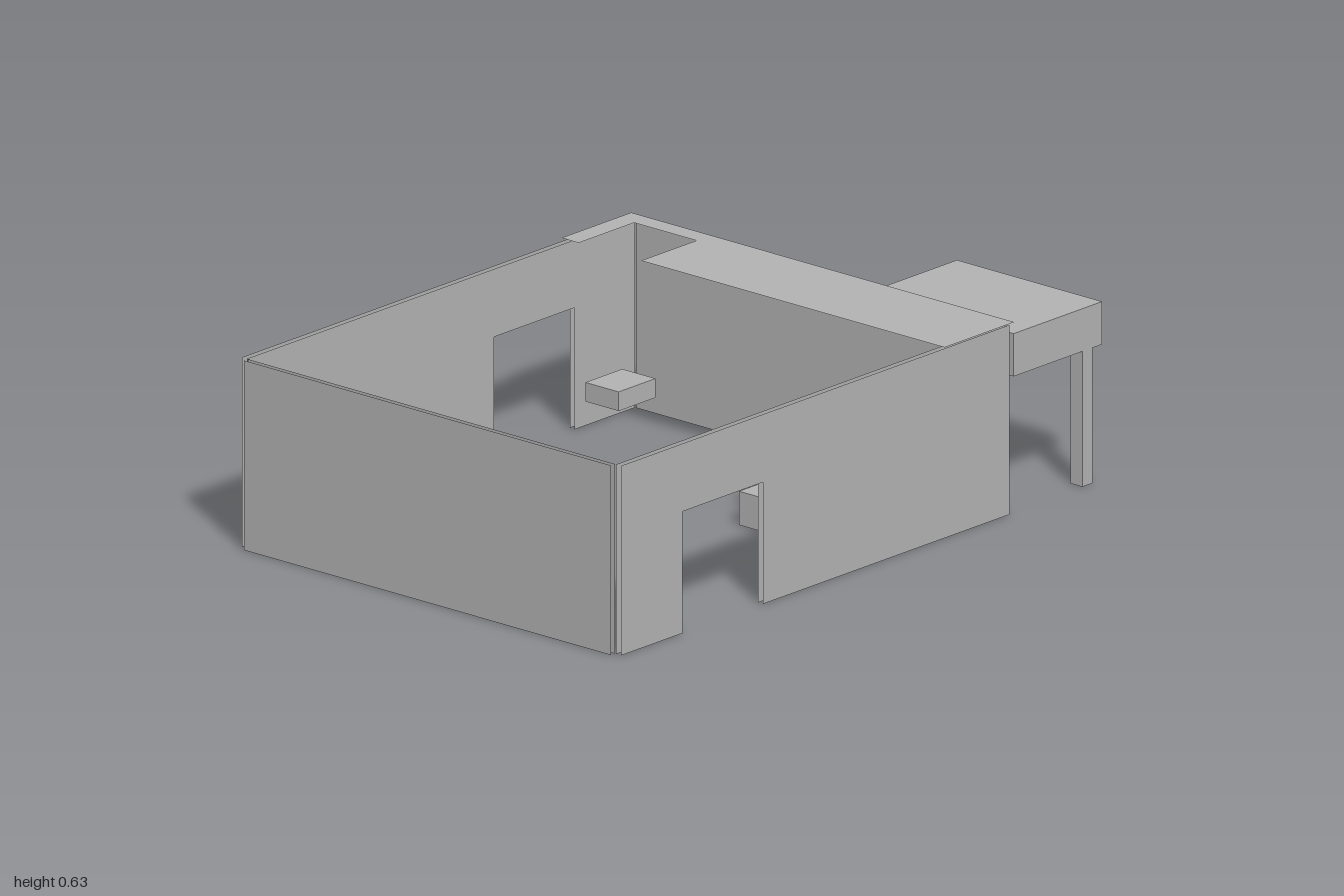
import * as THREE from 'three';

const grey = new THREE.MeshStandardMaterial({ color: 0xb2b2b2, side: THREE.DoubleSide });
grey.name = 'plain grey';

const WALL_HEIGHT = 0.545;
const DOOR_HEIGHT = 0.35;

function add(parent, name, geometry) {
  const mesh = new THREE.Mesh(geometry, grey);
  mesh.name = name;
  parent.add(mesh);
  return mesh;
}

// Box given by its limits, left open underneath
function openBox(parent, name, [x0, x1], [y0, y1], [z0, z1]) {
  const geometry = new THREE.BoxGeometry(x1 - x0, y1 - y0, z1 - z0);
  const index = Array.from(geometry.index.array);
  index.splice(18, 6);
  geometry.setIndex(index);
  geometry.clearGroups();
  geometry.translate((x0 + x1) / 2, (y0 + y1) / 2, (z0 + z1) / 2);
  return add(parent, name, geometry);
}

function polygon(points) {
  return new THREE.ShapeGeometry(new THREE.Shape(points.map(([x, y]) => new THREE.Vector2(x, y))));
}

// Upright sheet along x, with an optional doorway cut from the floor
function wallSheet(a, b, door) {
  const gap = door ? [[door[0], 0], [door[0], DOOR_HEIGHT], [door[1], DOOR_HEIGHT], [door[1], 0]] : [];
  return polygon([[a, 0], ...gap, [b, 0], [b, WALL_HEIGHT], [a, WALL_HEIGHT]]);
}

export function createModel() {
  const model = new THREE.Group();
  model.name = 'building';

  // Hollow walls: an outer and an inner sheet on each side, open at top and ends
  const walls = new THREE.Group();
  walls.name = 'walls';
  model.add(walls);
  for (const z of [0.69, 0.672]) {
    add(walls, 'frontWall', wallSheet(-0.984, 0.607, [-0.733, -0.403])).position.z = z;
    add(walls, 'backWall', wallSheet(-0.984, 0.607, [0.03, 0.36])).position.z = -z;
  }
  for (const [name, x] of [['rightWall', 0.623], ['rightWall', 0.607], ['leftWall', -1], ['leftWall', -0.984]]) {
    const sheet = add(walls, name, wallSheet(-0.668, 0.668));
    sheet.rotation.y = Math.PI / 2;
    sheet.position.x = x;
  }

  // Flat roof strip with a notch near the back
  const roof = polygon([
    [0.337, -0.694], [0.623, -0.694], [0.623, 0.7], [0.337, 0.7],
    [0.337, 0.637], [0.564, 0.637], [0.564, 0.41], [0.337, 0.41],
  ]);
  roof.rotateX(-Math.PI / 2);
  add(model, 'roofStrip', roof).position.y = 0.55;

  // Side canopy on two posts
  const canopy = new THREE.Group();
  canopy.name = 'canopy';
  model.add(canopy);
  openBox(canopy, 'canopyRoof', [0.63, 0.993], [0.39, 0.513], [0.157, 0.685]);
  for (const z of [0.2, 0.64]) {
    openBox(canopy, 'canopyPost', [0.914, 0.957], [0, 0.39], [z, z + 0.043]);
  }

  // Row of four cabinets
  const edges = [-0.679, -0.622, -0.559, -0.5, -0.438];
  for (let i = 0; i < 4; i++) {
    openBox(model, 'cabinet', [edges[i], edges[i + 1]], [0, 0.225], [-0.5, -0.43]);
  }

  // Counter with a raised shelf on two supports
  const counter = new THREE.Group();
  counter.name = 'counter';
  model.add(counter);
  openBox(counter, 'counterBase', [0.053, 0.394], [0, 0.097], [0.198, 0.288]);
  for (const x of [0.13, 0.275]) {
    openBox(counter, 'shelfSupport', [x, x + 0.04], [0.097, 0.195], [0.195, 0.29]);
  }
  openBox(counter, 'shelf', [0.123, 0.32], [0.193, 0.202], [0.185, 0.298]);

  // Hanging box above the front doorway
  openBox(model, 'hangingBox', [-0.708, -0.557], [0.575, 0.63], [0.315, 0.436]);

  return model;
}
